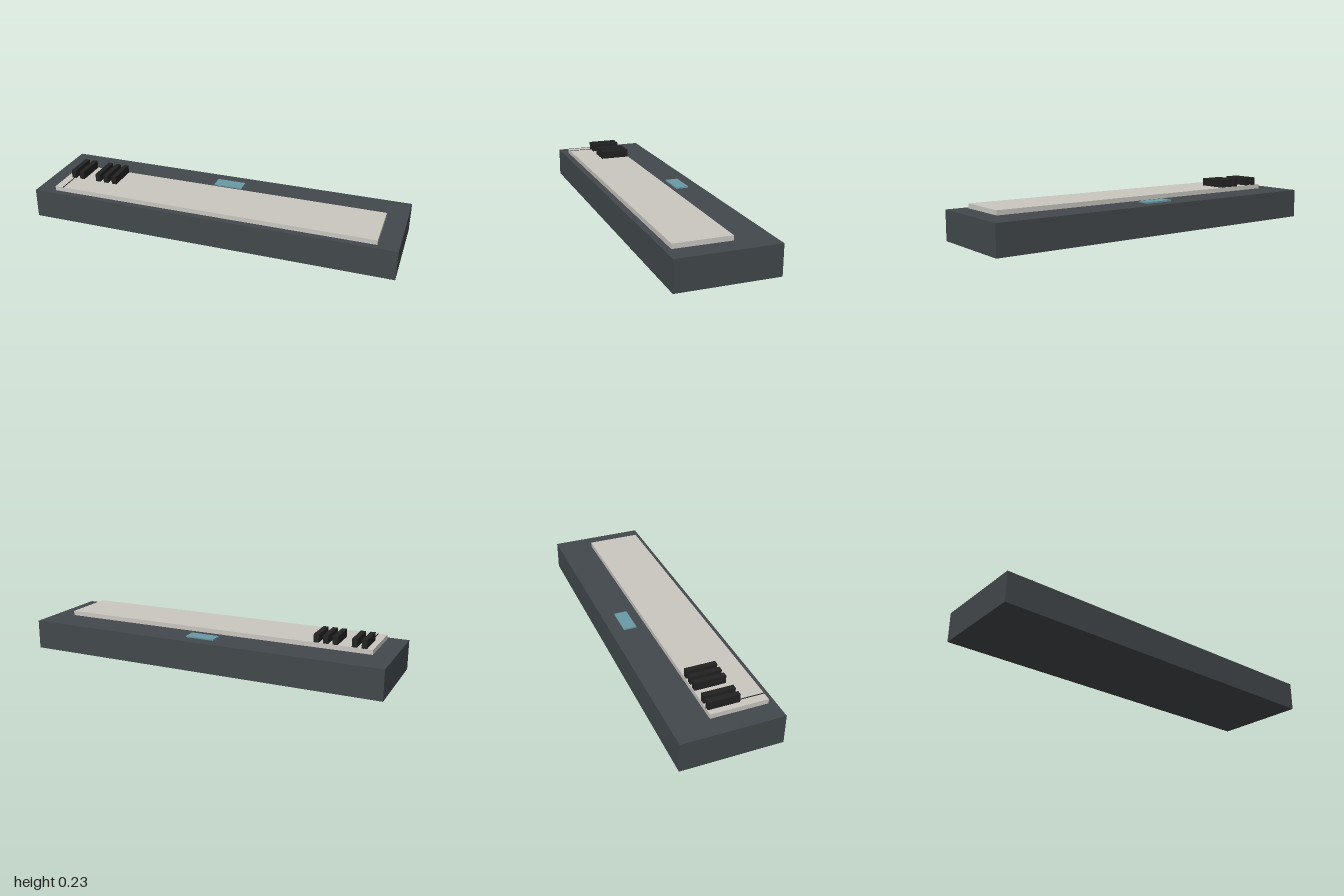
import * as THREE from 'three';

const material = (name, color) => {
  const m = new THREE.MeshStandardMaterial({ color });
  m.name = name;
  return m;
};

export function createModel() {
  const model = new THREE.Group();
  model.name = 'keyboard';

  const charcoal = material('charcoal', 0x42484b);
  const ivory = material('ivory', 0xcac7c1);
  const black = material('black', 0x222222);
  const teal = material('teal', 0x6a9aa5);

  // Box given by its lower and upper limits on each axis
  const block = (name, mat, [x0, x1], [y0, y1], [z0, z1]) => {
    const mesh = new THREE.Mesh(new THREE.BoxGeometry(x1 - x0, y1 - y0, z1 - z0), mat);
    mesh.position.set((x0 + x1) / 2, (y0 + y1) / 2, (z0 + z1) / 2);
    mesh.name = name;
    model.add(mesh);
  };

  // Case and the slab of white keys
  block('case', charcoal, [-1, 1], [0, 0.16], [-0.265, 0.265]);
  block('whiteKeys', ivory, [-0.892, 0.892], [0.16, 0.185], [-0.07, 0.23]);

  // Thin gap line between the first two white keys
  block('keyGap', black, [-0.847, -0.842], [0.184, 0.1865], [-0.07, 0.23]);

  // Raised black keys: a pair and a group of three
  for (const x of [-0.847, -0.797, -0.697, -0.648, -0.598]) {
    block('blackKey', black, [x - 0.0135, x + 0.0135], [0.185, 0.229], [-0.067, 0.097]);
  }

  // Display panel behind the keys
  block('display', teal, [-0.08, 0.08], [0.16, 0.168], [-0.194, -0.124]);

  return model;
}
